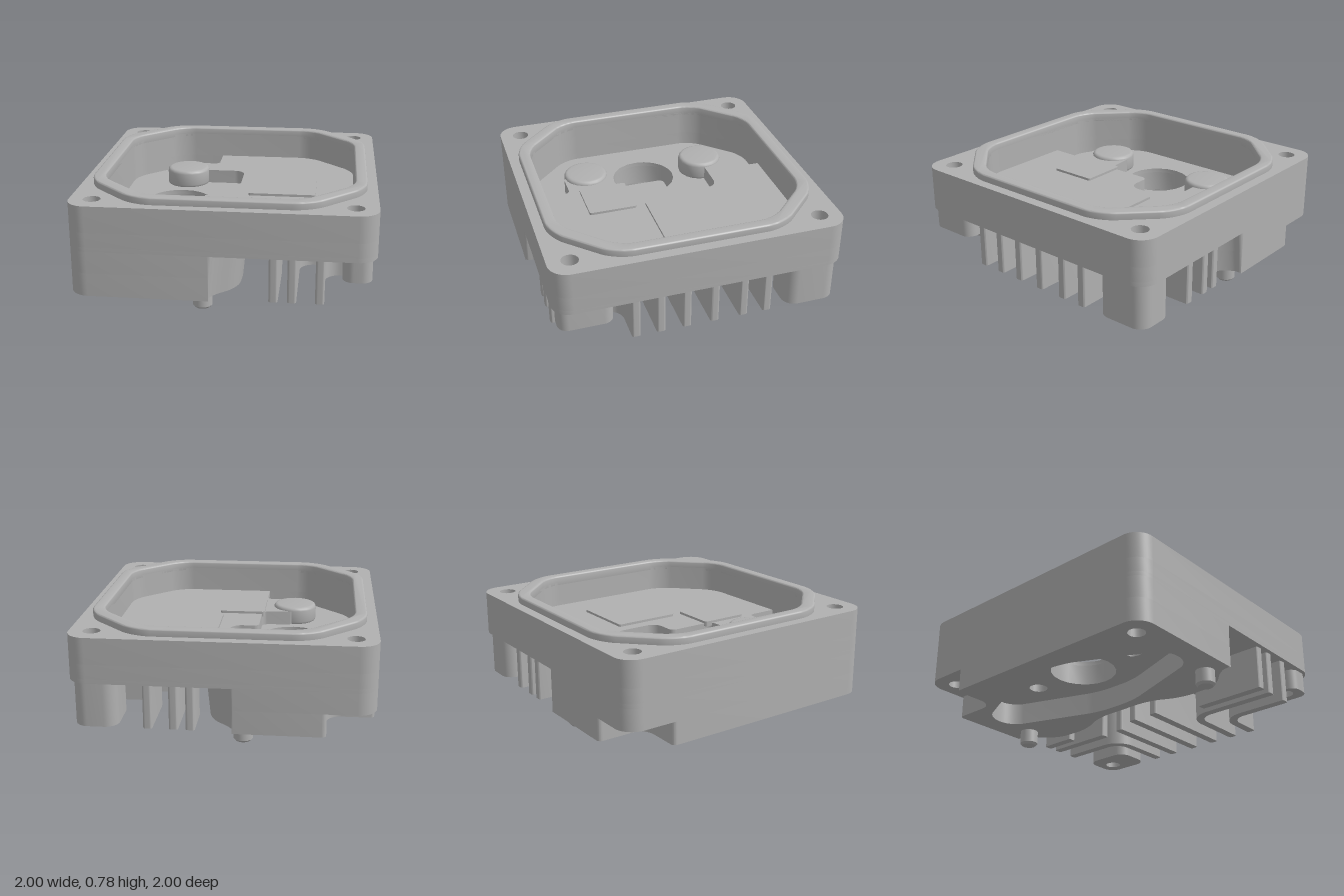
import * as THREE from 'three';
import { toCreasedNormals } from 'three/addons/utils/BufferGeometryUtils.js';

// Closed outline in (x, z) with rounded corners; each point is [x, z, radius?]
function outline(points, radius = 0, Type = THREE.Shape) {
  const path = new Type();
  const n = points.length;
  points.forEach(([x, z, own], i) => {
    const p = new THREE.Vector2(x, z);
    const toward = ([ax, az]) => {
      const d = new THREE.Vector2(ax, az).sub(p);
      const len = d.length();
      return d.multiplyScalar(Math.min(own ?? radius, len * 0.48) / len);
    };
    const a = toward(points[(i + n - 1) % n]), b = toward(points[(i + 1) % n]);
    const at = (d, s) => p.clone().addScaledVector(d, s);
    const start = at(a, 1), end = at(b, 1);
    if (i === 0) path.moveTo(start.x, start.y);
    else path.lineTo(start.x, start.y);
    if ((own ?? radius) > 0) {
      const c1 = at(a, 0.45), c2 = at(b, 0.45);
      path.bezierCurveTo(c1.x, c1.y, c2.x, c2.y, end.x, end.y);
    }
  });
  path.closePath();
  return path;
}

const circle = (x, z, r) => {
  const path = new THREE.Path();
  path.absarc(x, z, r, 0, Math.PI * 2);
  return path;
};

const rect = (x0, x1, z0, z1) => [[x0, z0], [x1, z0], [x1, z1], [x0, z1]];

// Square with its corners cut at 45 degrees
const octagon = (h, c) => [[c, -h], [h, -c], [h, c], [c, h], [-c, h], [-h, c], [-h, -c], [-c, -h]];

export function createModel() {
  const model = new THREE.Group();
  const metal = new THREE.MeshStandardMaterial({ color: 0xb0b0b0 });
  metal.name = 'cast metal grey';

  const add = (name, geometry) => {
    const mesh = new THREE.Mesh(geometry, metal);
    mesh.name = name;
    model.add(mesh);
    return mesh;
  };

  // Horizontal slab between two heights, optionally with holes and a bevel
  const slab = (name, shape, y0, y1, holes = [], bevel = 0) => {
    shape.holes.push(...holes);
    const g = new THREE.ExtrudeGeometry(shape, {
      depth: y1 - y0 - 2 * bevel, curveSegments: 10, bevelEnabled: bevel > 0,
      bevelSize: bevel, bevelThickness: bevel, bevelOffset: -bevel, bevelSegments: 3,
    });
    g.rotateX(Math.PI / 2).translate(0, y1 - bevel, 0);
    return add(name, toCreasedNormals(g, 0.6));
  };

  const bore = () => circle(-0.42, 0, 0.23);
  const screws = (sides = [-1, 1]) =>
    sides.flatMap((s) => [-1, 1].map((t) => circle(s * 0.85, t * 0.85, 0.058)));
  const square = () => outline(rect(-1, 1, -1, 1), 0.13);
  const cavity = () => outline(octagon(0.85, 0.52), 0.1, THREE.Path);

  // Tray: base, stepped floor, walls and raised sealing lip
  slab('trayBase', square(), 0.42, 0.45, [bore(), ...screws()]);
  const pocket = outline([
    [-0.2, -0.85, 0], [-0.2, -0.62], [-0.42, -0.62], [-0.42, -0.44], [0.02, -0.44, 0.08],
    [0.02, -0.08, 0.08], [-0.18, -0.08], [-0.18, 0.27], [-0.42, 0.29], [-0.42, 0.62],
    [-0.2, 0.62], [-0.2, 0.85, 0], [-0.52, 0.85, 0.1], [-0.85, 0.52, 0.1],
    [-0.85, -0.52, 0.1], [-0.52, -0.85, 0.1],
  ], 0.04, THREE.Path);
  slab('trayFloor', square(), 0.45, 0.55, [pocket, ...screws()]);
  slab('trayWall', square(), 0.55, 0.73, [cavity(), ...screws()]);
  slab('sealingLip', outline(octagon(0.93, 0.57), 0.12), 0.7, 0.78, [cavity()], 0.012);

  // Raised pads and round bosses on the floor
  slab('largePad', outline(rect(0.1, 0.58, -0.34, 0.14), 0.015), 0.53, 0.567);
  slab('smallPad', outline(rect(-0.2, 0.13, 0.21, 0.55), 0.015), 0.53, 0.567);
  for (const s of [-1, 1]) {
    const disc = new THREE.Shape();
    disc.absarc(-0.42, s * 0.45, 0.16, 0, Math.PI * 2);
    slab('floorBoss', disc, 0.44, 0.575, [], 0.025);
  }

  // Mounting block below, with a waisted inner side that tapers slightly
  const side = [
    [-0.05, -1, 0.03], [-0.05, -0.92], [0.13, -0.76], [0.14, -0.46], [0.03, -0.24],
    [0.03, 0.24], [0.14, 0.46], [0.13, 0.76], [-0.05, 0.92], [-0.05, 1, 0.03], [-1, 1, 0.13],
  ];
  const notch = [[-1, -0.65, 0.03], [-0.68, -0.65, 0.1], [-0.68, -1, 0.03]];
  const recess = outline([
    [-0.08, 0.16], [-0.32, 0.84], [-0.54, 0.84], [-0.84, 0.2],
    [-0.84, -0.2], [-0.54, -0.84], [-0.32, -0.84], [-0.08, -0.16],
  ], 0.1, THREE.Path);
  const blindHoles = [-1, 1].map((s) => circle(-0.42, s * 0.45, 0.065));
  const blocks = [
    slab('mountingBlockUpper', outline([...side, [-1, -1, 0.13]], 0.1), 0.27, 0.42,
      [bore(), ...blindHoles, ...screws([-1])]),
    slab('mountingBlockLower', outline([...side, ...notch], 0.1), 0.11, 0.27,
      [recess, circle(-0.85, 0.85, 0.058)]),
  ];
  for (const { geometry } of blocks) {
    const p = geometry.attributes.position;
    for (let i = 0; i < p.count; i++) {
      if (p.getX(i) > -0.075) p.setX(i, p.getX(i) - (0.42 - p.getY(i)) * 0.1);
    }
    geometry.computeVertexNormals();
    blocks.find((b) => b.geometry === geometry).geometry = toCreasedNormals(geometry, 0.6);
  }

  // Locating pins with chamfered tips
  const pinProfile = [[0, 0], [0.05, 0], [0.065, 0.015], [0.065, 0.13]]
    .map(([r, y]) => new THREE.Vector2(r, y));
  for (const s of [-1, 1]) {
    const pin = toCreasedNormals(new THREE.LatheGeometry(pinProfile, 32).toNonIndexed(), 0.5);
    add('locatingPin', pin).position.set(-0.135, 0, s * 0.835);
  }

  // Screw posts at the finned corners, one tall and one short
  slab('tallScrewPost', outline(rect(0.68, 0.97, -0.97, -0.6), 0.09), 0.11, 0.42,
    [circle(0.85, -0.85, 0.058)]);
  slab('shortScrewPost', outline(rect(0.78, 0.97, 0.6, 0.97), 0.07), 0.27, 0.42,
    [circle(0.85, 0.85, 0.058)]);

  // Straight cooling fins
  const t = 0.03;
  const finAlongX = (z, x0) =>
    slab('coolingFin', outline(rect(x0, 0.97, z - t, z + t), 0.015), 0.11, 0.42);
  const finAlongZ = (x, z0, z1) =>
    slab('coolingFin', outline(rect(x - t, x + t, z0, z1), 0.015), 0.11, 0.42);
  finAlongX(0.11, 0.2);
  finAlongX(-0.085, 0.2);
  finAlongX(-0.29, 0.28);
  finAlongZ(0.34, 0.45, 0.97);
  finAlongZ(0.31, -0.97, -0.45);
  finAlongZ(0.2, -0.97, -0.7);

  // Angled cooling fins that wrap round the corner posts
  const cornerFin = (x, z, s) =>
    slab('cornerFin', outline([
      [x - t, s * 0.97], [x - t, s * (z - t), 0.16], [0.97, s * (z - t)],
      [0.97, s * (z + t)], [x + t, s * (z + t), 0.1], [x + t, s * 0.97],
    ], 0.015), 0.11, 0.42);
  cornerFin(0.64, 0.46, 1);
  cornerFin(0.46, 0.29, 1);
  cornerFin(0.48, 0.46, -1);

  return model;
}
